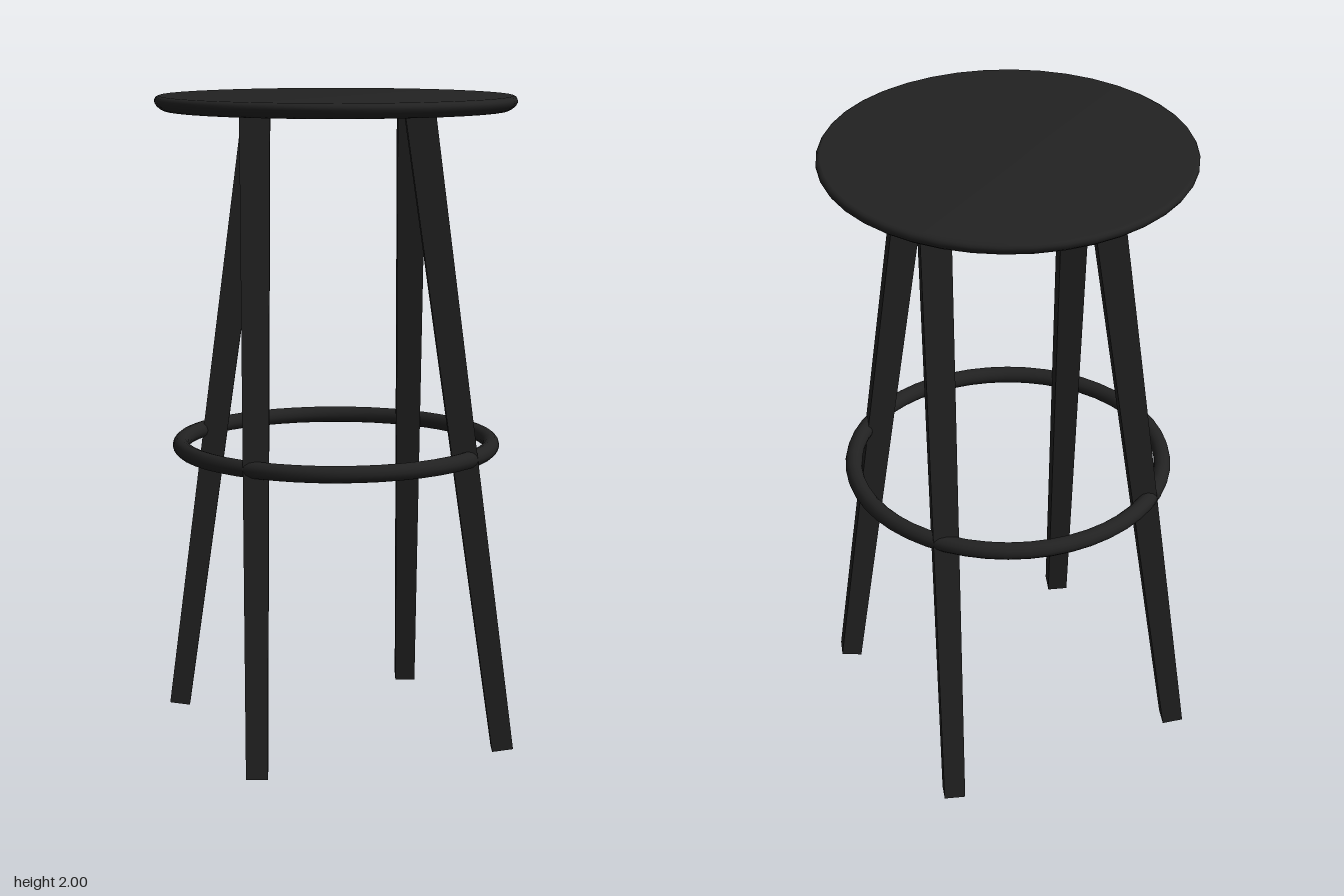
import * as THREE from 'three';

const material = new THREE.MeshStandardMaterial({ color: 0x222222 });

function addMesh(parent, name, geometry, mat = material) {
  const mesh = new THREE.Mesh(geometry, mat);
  mesh.name = name;
  parent.add(mesh);
  return mesh;
}

// Square tapered leg, leaning outwards along x only
function legGeometry() {
  const foot = new THREE.Vector3(0.511, 0.0045, 0.242);
  const top = new THREE.Vector3(0.243, 1.965, 0.242);
  const axis = top.clone().sub(foot);
  const geo = new THREE.CylinderGeometry(0.09 / Math.SQRT2, 0.065 / Math.SQRT2, axis.length(), 4);
  geo.rotateY(Math.PI / 4);
  geo.rotateZ(Math.atan2(-axis.x, axis.y));
  const mid = foot.add(top).multiplyScalar(0.5);
  return geo.translate(mid.x, mid.y, mid.z);
}

export function createModel() {
  const stool = new THREE.Group();
  stool.name = 'barStool';

  // Round seat: flat top, rounded rim, slightly tapered underside
  const profile = [
    [0, 1.955], [0.525, 1.955], [0.536, 1.961], [0.547, 1.97], [0.553, 1.98],
    [0.553, 1.988], [0.549, 1.995], [0.54, 2], [0, 2],
  ].map(([r, y]) => new THREE.Vector2(r, y));
  addMesh(stool, 'seat', new THREE.LatheGeometry(profile, 40));

  // Four legs, each turned a quarter around the stool
  const flat = material.clone();
  flat.flatShading = true;
  const leg = legGeometry();
  for (let i = 0; i < 4; i++) {
    addMesh(stool, `leg${i + 1}`, leg, flat).rotation.y = (i * Math.PI) / 2;
  }

  // Circular footrest
  const ring = new THREE.TorusGeometry(0.484, 0.026, 12, 48);
  ring.rotateX(Math.PI / 2).translate(0, 0.922, 0);
  addMesh(stool, 'footrestRing', ring);

  return stool;
}
